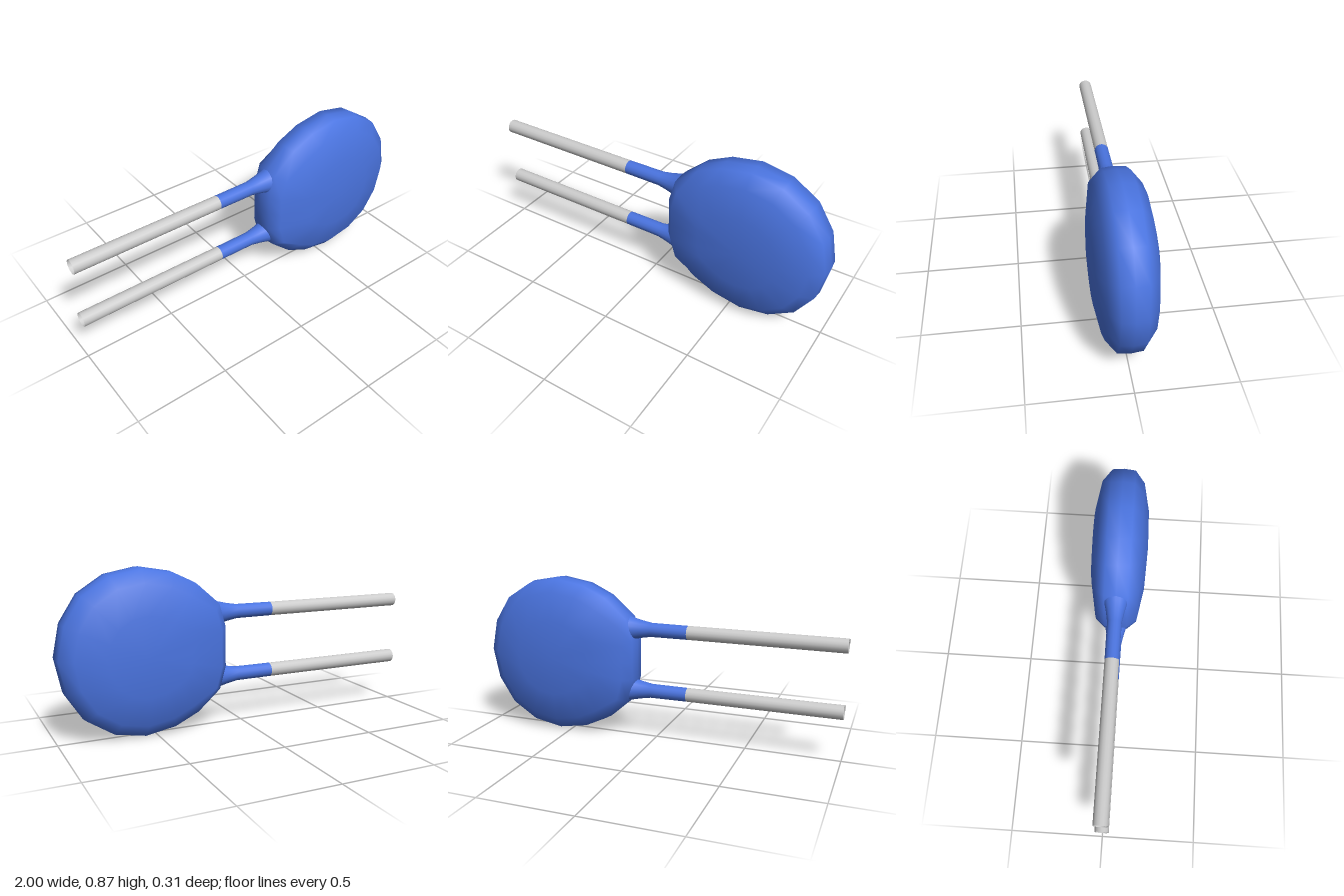
import * as THREE from 'three';

const CX = 0.565, CY = 0.433, LEAD_DY = 0.171;
const blue = new THREE.MeshStandardMaterial({ color: 0x4a74e0 });
const sleeveBlue = new THREE.MeshStandardMaterial({ color: 0x4a74e0, side: THREE.DoubleSide });
const grey = new THREE.MeshStandardMaterial({ color: 0xcccccc, side: THREE.DoubleSide });

// Lens-shaped body: one outline, scaled into rings through its thickness
function bodyGeometry() {
  const upper = [
    [0.43, 0], [0.395, 0.171], [0.305, 0.312], [0.165, 0.402], [0, 0.433],
    [-0.165, 0.404], [-0.295, 0.342], [-0.42, 0.232], [-0.455, 0.107], [-0.453, 0],
  ];
  const outline = [...upper, ...upper.slice(1, -1).reverse().map(([x, y]) => [x, -y])];
  // [scale, scale on the flat lead side, z]
  const half = [[0.48, 0.5, 0.148], [0.835, 0.89, 0.115], [0.985, 0.985, 0.063]];
  const rings = [
    ...half.map(([s, f, z]) => [s, f, -z]), [1, 1, 0], ...[...half].reverse(),
  ];
  const n = outline.length, pos = [], idx = [];
  for (const [s, f, z] of rings) {
    for (const [x, y] of outline) {
      const k = x < -0.4 ? f : s;
      pos.push(CX + x * k, CY + y * k, z);
    }
  }
  const back = pos.length / 3, front = back + 1, last = (rings.length - 1) * n;
  pos.push(CX, CY, -0.157, CX, CY, 0.157);
  for (let i = 0; i < n; i++) {
    const j = (i + 1) % n;
    idx.push(back, j, i, front, last + i, last + j);
    for (let r = 0; r < last; r += n) {
      idx.push(r + i, r + j, r + n + j, r + i, r + n + j, r + n + i);
    }
  }
  const g = new THREE.BufferGeometry();
  g.setAttribute('position', new THREE.Float32BufferAttribute(pos, 3));
  g.setIndex(idx);
  g.computeVertexNormals();
  return g;
}

// Turned profile of [x, radius] pairs laid along the x axis
function turned(profile) {
  const pts = profile.map(([x, r]) => new THREE.Vector2(r, x));
  return new THREE.LatheGeometry(pts, 16).rotateZ(-Math.PI / 2);
}

export function createModel() {
  const model = new THREE.Group();
  model.name = 'discComponent';
  const add = (name, geometry, material, y = 0) => {
    const mesh = new THREE.Mesh(geometry, material);
    mesh.name = name;
    mesh.position.y = y;
    model.add(mesh);
  };

  add('body', bodyGeometry(), blue);

  // Coated sleeves flare into the body; bare open-ended leads run on from them
  const sleeve = turned([[-0.175, 0.0375], [0.03, 0.0385], [0.09, 0.049], [0.135, 0.06], [0.2, 0.085]]);
  const lead = turned([[-1, 0.0375], [-0.175, 0.0375]]);
  for (const [label, side] of [['upper', 1], ['lower', -1]]) {
    add(label + 'Sleeve', sleeve, sleeveBlue, CY + side * LEAD_DY);
    add(label + 'Lead', lead, grey, CY + side * LEAD_DY);
  }
  return model;
}
